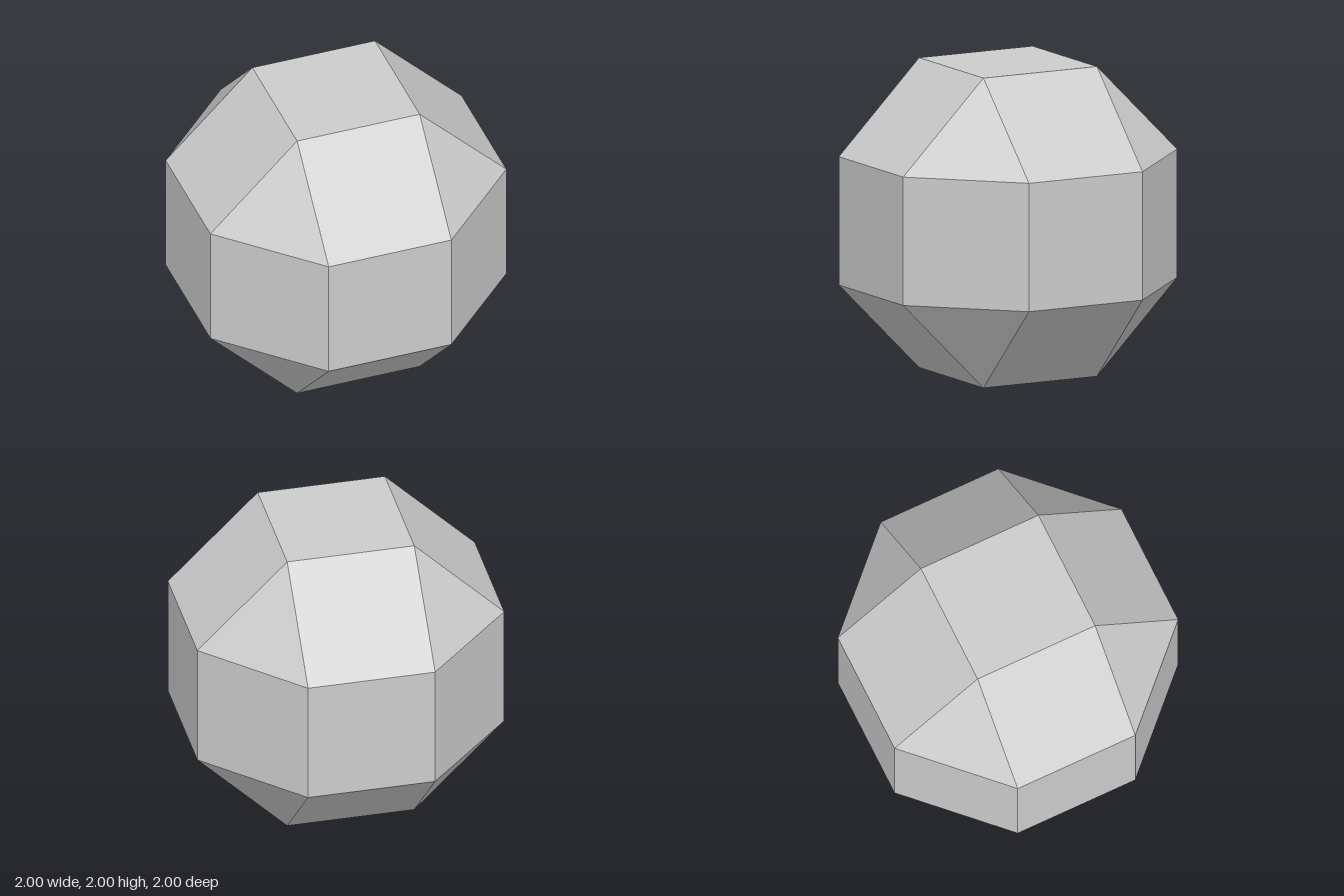
import * as THREE from 'three';
import { ConvexGeometry } from 'three/addons/geometries/ConvexGeometry.js';

export function createModel() {
  const group = new THREE.Group();
  group.name = 'rhombicuboctahedron';

  const grey = new THREE.MeshStandardMaterial({ color: 0xcccccc });
  grey.name = 'light grey';

  // Corners: every sign and axis permutation of (1, a, a)
  const a = Math.SQRT2 - 1;
  const corners = [];
  for (let axis = 0; axis < 3; axis++)
    for (const sx of [-1, 1])
      for (const sy of [-1, 1])
        for (const sz of [-1, 1]) {
          const size = [a, a, a];
          size[axis] = 1;
          corners.push(new THREE.Vector3(sx * size[0], sy * size[1], sz * size[2]));
        }

  // Faceted solid: 18 squares and 8 triangles, resting on its bottom square
  const solid = new THREE.Mesh(new ConvexGeometry(corners), grey);
  solid.name = 'facetedSolid';
  solid.position.y = 1;
  group.add(solid);
  return group;
}
